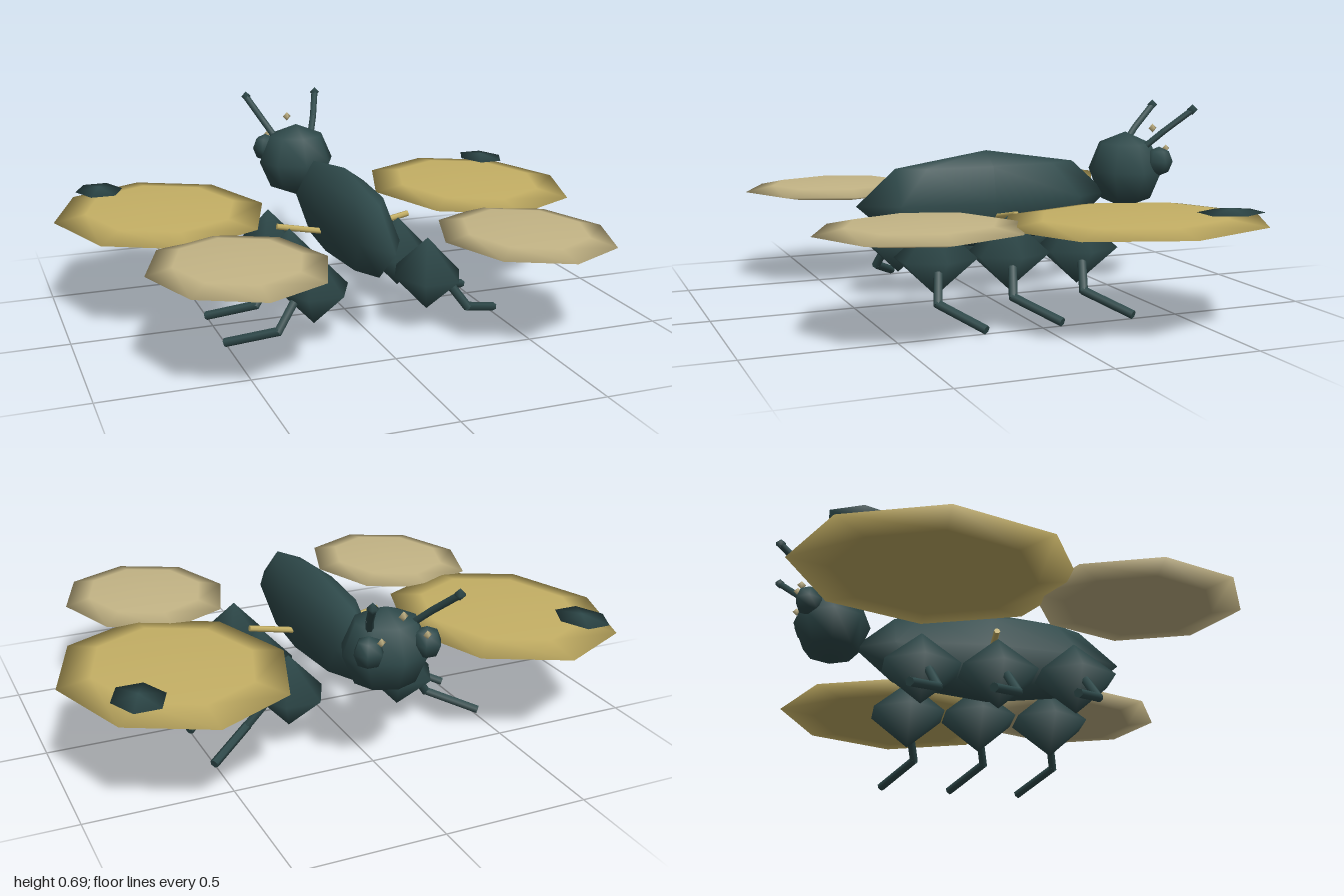
import * as THREE from 'three';

const paint = (name, color) => {
  const m = new THREE.MeshStandardMaterial({ color });
  m.name = name;
  return m;
};

export function createModel() {
  const model = new THREE.Group();
  model.name = 'insect';
  const shell = paint('dark slate shell', 0x2f4a4b);
  const gold = paint('gold wing', 0xc5b065);
  const sand = paint('pale sand wing', 0xc4b586);

  // Low-poly ellipsoid with smooth normals
  const blob = (name, mat, pos, radii, sides = 8, rows = 4) => {
    const geo = new THREE.SphereGeometry(1, sides, rows).scale(...radii);
    const mesh = new THREE.Mesh(geo, mat);
    mesh.name = name;
    mesh.position.set(...pos);
    model.add(mesh);
  };

  // Six-sided rods joined end to end along a list of points
  const limb = (name, mat, radius, points) => {
    const group = new THREE.Group();
    group.name = name;
    const pts = points.map((p) => new THREE.Vector3(...p));
    for (let i = 0; i + 1 < pts.length; i++) {
      const dir = pts[i + 1].clone().sub(pts[i]);
      const rod = new THREE.Mesh(new THREE.CylinderGeometry(radius, radius, dir.length() + radius * 0.6, 6), mat);
      rod.name = name + 'Segment';
      rod.position.copy(pts[i]).addScaledVector(dir, 0.5);
      rod.quaternion.setFromUnitVectors(new THREE.Vector3(0, 1, 0), dir.normalize());
      group.add(rod);
    }
    model.add(group);
  };

  // Body and head; the head points to -z
  blob('body', shell, [0, 0.365, 0], [0.103, 0.178, 0.487]);
  blob('head', shell, [0, 0.446, -0.567], [0.152, 0.145, 0.138]);
  blob('centreOcellus', sand, [0, 0.6, -0.685], [0.017, 0.017, 0.017], 4, 2);

  for (const s of [1, -1]) {
    const side = s > 0 ? 'left' : 'right';

    // Wings with a dark spot near each front tip
    blob(side + 'ForeWing', gold, [s * 0.615, 0.363, -0.272], [0.385, 0.028, 0.466]);
    blob(side + 'HindWing', sand, [s * 0.51, 0.364, 0.418], [0.3, 0.028, 0.355]);
    blob(side + 'WingSpot', shell, [s * 0.8, 0.404, -0.515], [0.088, 0.014, 0.115], 6, 2);
    limb(side + 'WingRoot', gold, 0.011, [[s * 0.09, 0.314, -0.01], [s * 0.25, 0.346, -0.01]]);

    // Eye, small simple eye and antenna
    blob(side + 'Eye', shell, [s * 0.102, 0.485, -0.655], [0.052, 0.055, 0.052], 6, 4);
    blob(side + 'Ocellus', sand, [s * 0.08, 0.53, -0.697], [0.015, 0.015, 0.015], 4, 2);
    limb(side + 'Antenna', shell, 0.013,
      [[s * 0.08, 0.545, -0.615], [s * 0.108, 0.597, -0.67], [s * 0.147, 0.675, -0.765]]);
    blob(side + 'AntennaTip', shell, [s * 0.148, 0.678, -0.767], [0.02, 0.02, 0.02], 6, 2);

    // Three thighs, each with a bent leg
    for (const z of [0.27, 0, -0.265]) {
      blob(side + 'Thigh', shell, [s * 0.21, 0.207, z], [0.124, 0.131, 0.15], 6, 2);
      limb(side + 'Leg', shell, 0.016,
        [[s * 0.26, 0.205, z + 0.008], [s * 0.35, 0.08, z + 0.042], [s * 0.505, 0.022, z - 0.064]]);
    }
  }
  return model;
}
